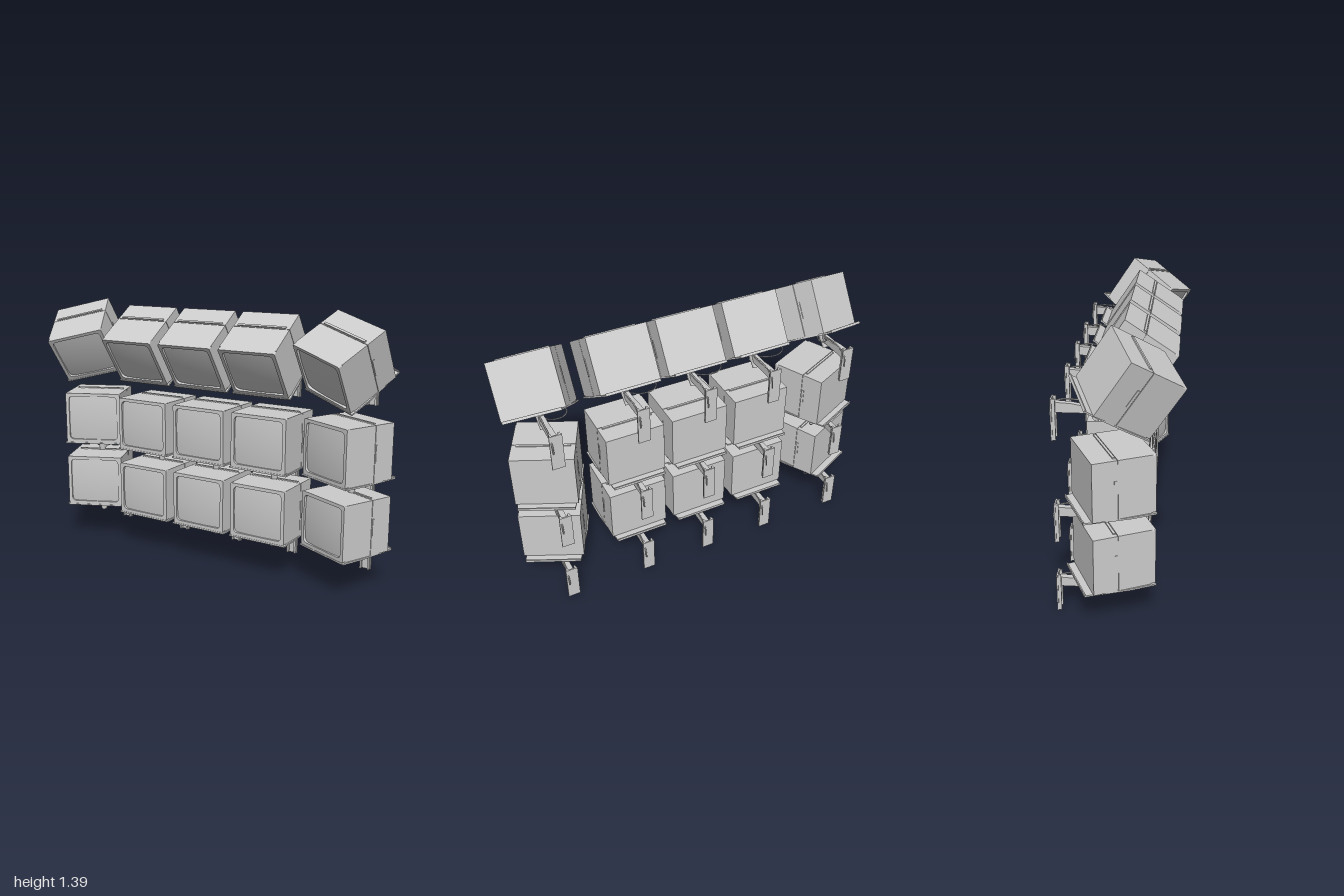
import * as THREE from 'three';

const mat = new THREE.MeshStandardMaterial({ color: 0xcccccc });
const W = 0.315, H = 0.285, D = 0.3; // television cabinet
const YAW = 0.43, PITCH = 0.59;

function add(parent, name, geometry, x = 0, y = 0, z = 0) {
  const mesh = new THREE.Mesh(geometry, mat);
  mesh.name = name;
  mesh.position.set(x, y, z);
  parent.add(mesh);
  return mesh;
}
const box = (w, h, d) => new THREE.BoxGeometry(w, h, d);

function roundedRect(w, h, r, Type = THREE.Shape) {
  const s = new Type(), x = w / 2, y = h / 2;
  s.moveTo(-x + r, -y);
  s.lineTo(x - r, -y).quadraticCurveTo(x, -y, x, -y + r);
  s.lineTo(x, y - r).quadraticCurveTo(x, y, x - r, y);
  s.lineTo(-x + r, y).quadraticCurveTo(-x, y, -x, y - r);
  s.lineTo(-x, -y + r).quadraticCurveTo(-x, -y, -x + r, -y);
  return s;
}

function polygon(points) {
  return new THREE.Shape(points.map(([x, y]) => new THREE.Vector2(x, y)));
}

const extrude = (shape, depth) =>
  new THREE.ExtrudeGeometry(shape, { depth, bevelEnabled: false, curveSegments: 6 });

const tube = (points, r) => new THREE.TubeGeometry(
  new THREE.CatmullRomCurve3(points.map(p => new THREE.Vector3(...p))), 20, r, 6);

// Bulged picture tube
function screenGeometry(w, h) {
  const g = new THREE.PlaneGeometry(w, h, 16, 14), p = g.attributes.position;
  for (let i = 0; i < p.count; i++) {
    const u = 2 * p.getX(i) / w, v = 2 * p.getY(i) / h;
    p.setZ(i, 0.014 * (1 - 0.5 * (u * u + v * v)));
  }
  g.computeVertexNormals();
  return g;
}

// Bezel frame with a rounded opening
const bezelShape = roundedRect(W, H, 0.008);
const opening = roundedRect(0.278, 0.25, 0.024, THREE.Path);
bezelShape.holes.push(opening);

const geo = {
  bezel: extrude(bezelShape, 0.022),
  screen: screenGeometry(0.284, 0.256),
  frontShell: box(W, H, 0.158),
  rearShell: box(W, H, 0.117),
  core: box(W - 0.008, H - 0.008, 0.27),
  topRidge: box(0.27, 0.007, 0.012),
  sideRidge: box(0.006, 0.09, 0.012),
  // Shelf, wider at the front
  shelf: extrude(polygon([[-0.143, -0.19], [0.143, -0.19], [0.165, 0.03],
    [0.165, 0.152], [-0.165, 0.152], [-0.165, 0.03]]), 0.008).rotateX(Math.PI / 2),
  shelfLip: box(0.285, 0.012, 0.006),
  swivel: new THREE.CylinderGeometry(0.023, 0.016, 0.075, 16),
  swivelCap: new THREE.CylinderGeometry(0.032, 0.032, 0.008, 16),
  // Arm seen from the side: (z, y)
  arm: extrude(polygon([[-0.275, 0.128], [-0.06, 0.128], [-0.06, 0.163], [-0.15, 0.163],
    [-0.2, 0.172], [-0.275, 0.176]]), 0.028).rotateY(-Math.PI / 2).translate(0.014, 0, 0),
  elbow: new THREE.CylinderGeometry(0.019, 0.019, 0.042, 14),
  postPlate: box(0.064, 0.195, 0.007),
  postRail: box(0.01, 0.195, 0.018),
  armCable: tube([[0.01, 0.165, -0.09], [0.016, 0.18, -0.18], [0.02, 0.178, -0.25],
    [0.022, 0.155, -0.292], [0.02, 0.1, -0.3]], 0.004),
};

// Television with its shelf and swivel; origin at the bottom centre of the cabinet
function television() {
  const tv = new THREE.Group();
  tv.name = 'television';
  add(tv, 'bezel', geo.bezel, 0, H / 2, D / 2 - 0.022);
  add(tv, 'screen', geo.screen, 0, H / 2, D / 2 - 0.016);
  add(tv, 'frontShell', geo.frontShell, 0, H / 2, 0.049);
  add(tv, 'rearShell', geo.rearShell, 0, H / 2, -D / 2 + 0.0585);
  add(tv, 'innerCabinet', geo.core, 0, H / 2, -0.01);
  add(tv, 'topRidge', geo.topRidge, 0, H + 0.002, -0.042);
  for (const s of [-1, 1]) add(tv, 'sideRidge', geo.sideRidge, s * W / 2, H * 0.5, -0.042);
  add(tv, 'shelf', geo.shelf, 0, 0, 0);
  add(tv, 'shelfLip', geo.shelfLip, 0, 0, -0.187);
  add(tv, 'swivelCap', geo.swivelCap, 0, -0.012, -0.035);
  add(tv, 'swivel', geo.swivel, 0, -0.048, -0.035);
  return tv;
}

// Wall post, arm and cable; origin at the foot of the post
function bracket() {
  const b = new THREE.Group();
  b.name = 'wallBracket';
  add(b, 'postPlate', geo.postPlate, 0, 0.0975, -0.2865);
  for (const s of [-1, 1]) add(b, 'postRail', geo.postRail, s * 0.022, 0.0975, -0.278);
  add(b, 'arm', geo.arm);
  add(b, 'armElbow', geo.elbow, 0, 0.146, -0.062);
  add(b, 'armCable', geo.armCable);
  return b;
}

export function createModel() {
  const model = new THREE.Group();
  model.name = 'televisionWall';
  const columns = [
    { x: -0.789, yaw: YAW, cable: 1 }, { x: -0.365, yaw: 0, cable: -1 },
    { x: 0, yaw: 0, cable: -1 }, { x: 0.362, yaw: 0, cable: -1 },
    { x: 0.785, yaw: -YAW, cable: -1 },
  ];
  const rows = [
    { foot: 0, y: 0.2, pitch: 0 }, { foot: 0.375, y: 0.572, pitch: 0 },
    { foot: 0.89, y: 1.039, pitch: PITCH },
  ];
  for (const row of rows) {
    for (const col of columns) {
      const tv = television();
      tv.position.set(col.x, row.y, -0.022);
      tv.rotation.set(row.pitch, col.yaw, 0);
      model.add(tv);

      const b = bracket();
      b.position.set(col.x - 0.035 * Math.sin(col.yaw), row.foot, 0);
      model.add(b);

      // Loose cable hanging below the shelf
      const c = col.cable;
      add(tv, 'hangingCable', tube([[c * 0.015, -0.03, -0.05], [c * 0.06, -0.046, -0.09],
        [c * 0.12, -0.045, -0.1], [c * 0.145, -0.025, -0.1], [c * 0.14, -0.004, -0.1]], 0.003));
    }
  }
  return model;
}
